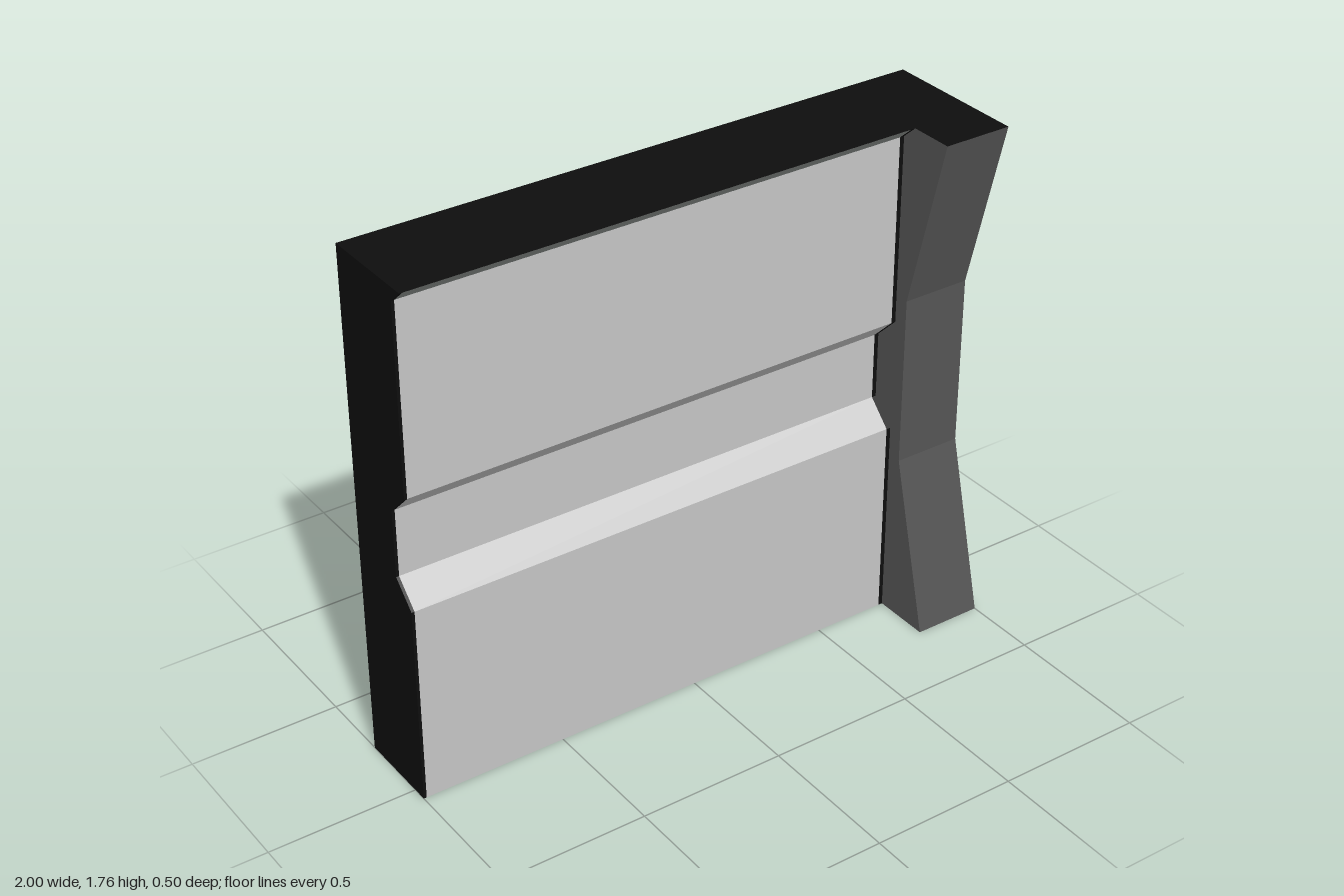
import * as THREE from 'three';

const mat = (name, color) => Object.assign(new THREE.MeshStandardMaterial({ color }), { name });

// Flat-faced ribbon swept along x from a list of [z, y] points
function ribbon(points, x0, x1) {
  const pos = [];
  for (let i = 0; i < points.length - 1; i++) {
    const [za, ya] = points[i], [zb, yb] = points[i + 1];
    pos.push(x0, ya, za, x1, ya, za, x1, yb, zb, x0, ya, za, x1, yb, zb, x0, yb, zb);
  }
  const geo = new THREE.BufferGeometry();
  geo.setAttribute('position', new THREE.Float32BufferAttribute(pos, 3));
  geo.computeVertexNormals();
  return geo;
}

// Flat end face of a [z, y] outline at x, facing +x (side 1) or -x (side -1)
function endCap(points, x, side) {
  const shape = new THREE.Shape(points.map(([z, y]) => new THREE.Vector2(-side * z, y)));
  return new THREE.ShapeGeometry(shape).rotateY(side * Math.PI / 2).translate(x, 0, 0);
}

export function createModel() {
  const model = new THREE.Group();
  const lightGrey = mat('light grey panel', 0xc6c6c6);
  const trimGrey = mat('trim grey', 0x8f9490);
  const darkGrey = mat('dark grey pillar', 0x555555);
  const black = mat('black shell', 0x0e0e0e);

  const add = (parent, name, geo, material) => {
    const mesh = new THREE.Mesh(geo, material);
    mesh.name = name;
    parent.add(mesh);
  };
  const group = (name) => {
    const g = new THREE.Group();
    g.name = name;
    model.add(g);
    return g;
  };

  const H = 1.765, BACK = -0.25, LEFT = 0.765;
  const face = [[0.05, 0], [0.05, 0.69], [-0.03, 0.77], [-0.03, 1.0], [0.05, 1.08], [0.05, 1.72]];
  const lip = [[0.05, 1.72], [0.1, H]];
  const front = [...face, lip[1]];
  const backTop = [BACK, H], backBottom = [BACK, 0];

  // Wall with a recessed band, an overhanging lip and narrow black borders
  const wall = group('wall');
  add(wall, 'wallFace', ribbon(face, -0.99, 0.75), lightGrey);
  add(wall, 'topLip', ribbon(lip, -0.99, 0.75), trimGrey);
  add(wall, 'wallUnderside', ribbon([backBottom, face[0]], -0.99, LEFT), lightGrey);
  add(wall, 'undersideBorder', ribbon([backBottom, face[0]], -1, -0.99), black);
  add(wall, 'rightBorder', ribbon(front, -1, -0.99), black);
  add(wall, 'leftBorder', ribbon(front, 0.75, LEFT), black);
  add(wall, 'wallTopAndBack', ribbon([lip[1], backTop, backBottom], -1, LEFT), black);
  add(wall, 'wallEnd', endCap([...front, backTop, backBottom], -1, -1), black);

  // Pillar that narrows towards the middle
  const pillar = group('pillar');
  const bow = [[0.25, 0], [0.1, 0.59], [0.1, 1.175], [0.25, H]];
  const outline = [...bow, backTop, backBottom];
  add(pillar, 'pillarFront', ribbon(bow, LEFT, 1), darkGrey);
  add(pillar, 'pillarOuterSide', endCap(outline, 1, 1), darkGrey);
  add(pillar, 'pillarInnerSide', endCap(outline, LEFT, -1), darkGrey);
  add(pillar, 'pillarTopBackBottom', ribbon([bow[3], backTop, backBottom, bow[0]], LEFT, 1), black);

  return model;
}
